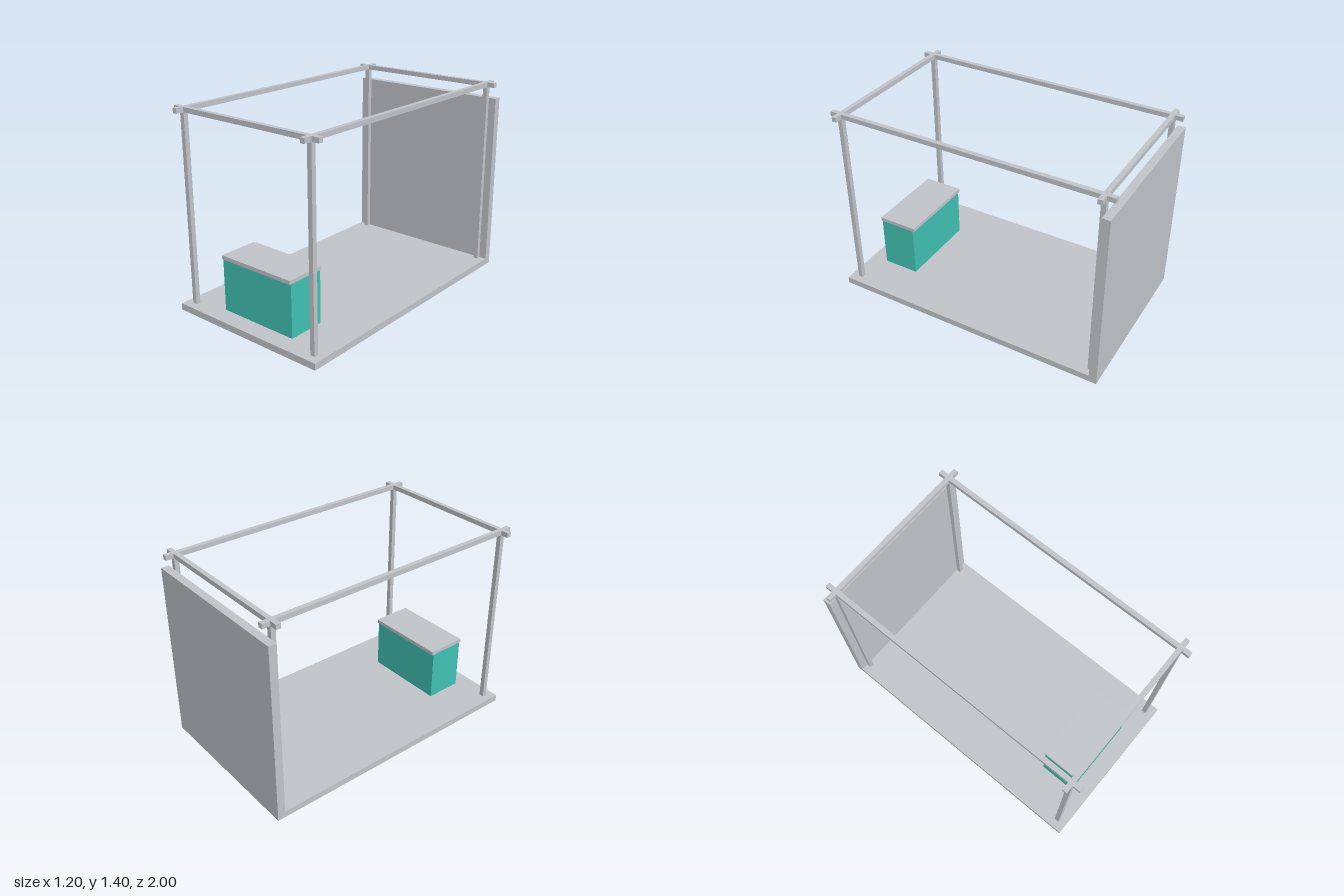
import * as THREE from 'three';

export function createModel() {
  const grey = new THREE.MeshStandardMaterial({ name: 'light grey', color: 0xc0c4c9 });
  const teal = new THREE.MeshStandardMaterial({ name: 'teal', color: 0x40c1b3 });
  const group = new THREE.Group();
  group.name = 'exhibitionStand';

  // Box given by its minimum and maximum corners
  const box = (name, material, [x0, y0, z0], [x1, y1, z1]) => {
    const mesh = new THREE.Mesh(new THREE.BoxGeometry(x1 - x0, y1 - y0, z1 - z0), material);
    mesh.position.set((x0 + x1) / 2, (y0 + y1) / 2, (z0 + z1) / 2);
    mesh.name = name;
    group.add(mesh);
  };

  const floorTop = 0.047, beamBottom = 1.365, top = 1.398;
  const half = 0.0165, postX = 0.53, postZ = 0.928;

  // Floor and back wall
  box('floor', grey, [-0.6, 0, -1], [0.6, floorTop, 1]);
  box('backWall', grey, [-0.6, floorTop, -1], [0.6, 1.282, -0.945]);

  // Four posts
  for (const sx of [-1, 1]) {
    for (const sz of [-1, 1]) {
      const x = sx * postX, z = sz * postZ;
      box(`${sz > 0 ? 'front' : 'back'}${sx > 0 ? 'Left' : 'Right'}Post`, grey,
        [x - half, floorTop, z - half], [x + half, beamBottom, z + half]);
    }
  }

  // Roof frame: long side beams, with cross beams split where they meet them
  for (const s of [-1, 1]) {
    const x = s * postX, z = s * postZ;
    box(s > 0 ? 'leftBeam' : 'rightBeam', grey, [x - half, beamBottom, -1], [x + half, top, 1]);
    const name = s > 0 ? 'frontBeam' : 'backBeam';
    const spans = [[-0.6, -postX - half], [-postX + half, postX - half], [postX + half, 0.6]];
    for (const [a, b] of spans) {
      box(name, grey, [a, beamBottom, z - half], [b, top, z + half]);
    }
  }

  // Counter with overhanging top
  box('counter', teal, [-0.3, floorTop, 0.608], [0.3, 0.417, 0.874]);
  box('counterTop', grey, [-0.3, 0.417, 0.595], [0.3, 0.444, 0.885]);

  return group;
}
